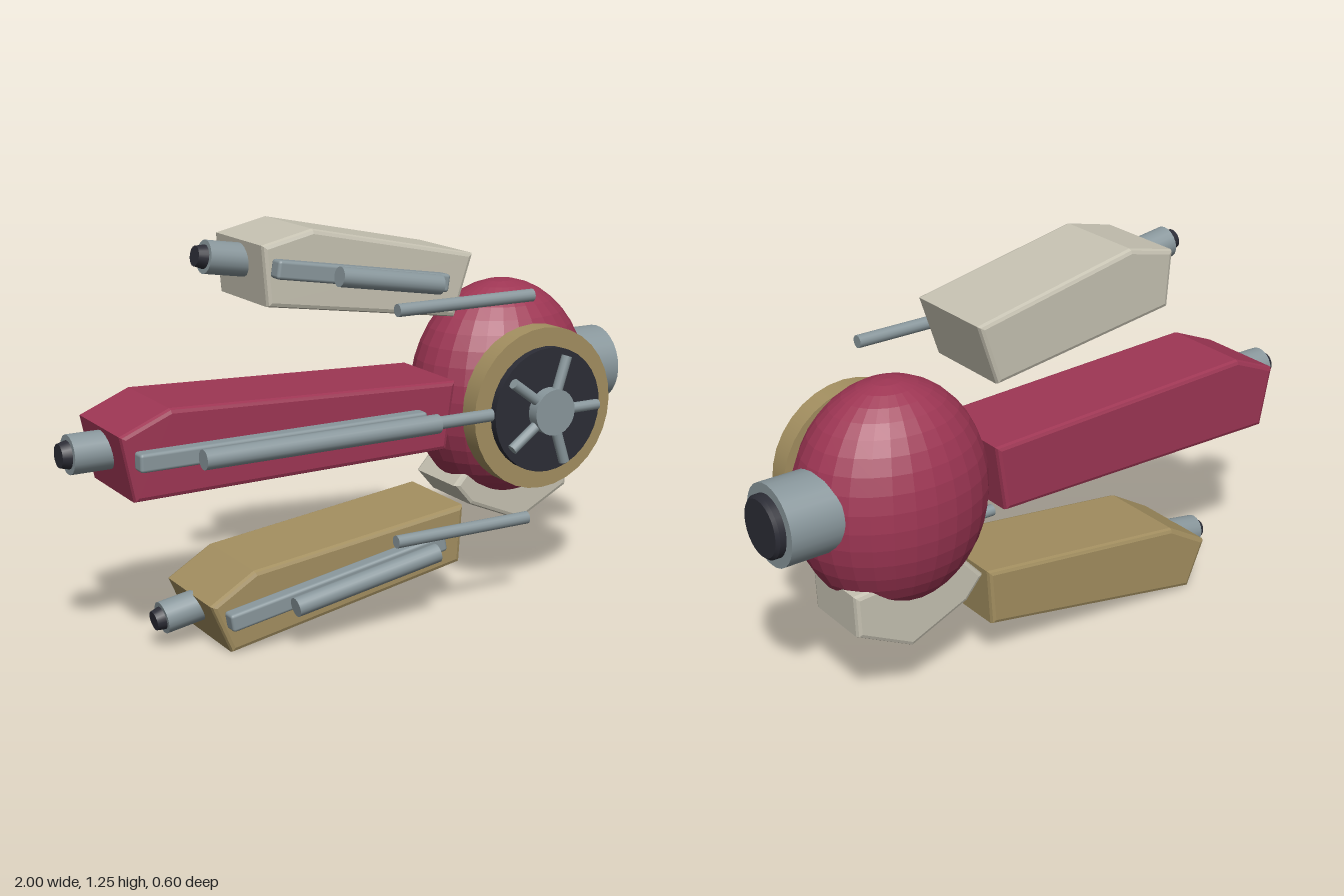
import * as THREE from 'three';
import { RoundedBoxGeometry } from 'three/addons/geometries/RoundedBoxGeometry.js';

const paint = (name, color) => Object.assign(new THREE.MeshStandardMaterial({ color }), { name });

export function createModel() {
  const red = paint('crimson', 0x9e3654);
  const cream = paint('cream', 0xc6c2b2);
  const tan = paint('tan', 0xa38f60);
  const grey = paint('steel grey', 0x89979c);
  const dark = paint('near black', 0x2c2d36);

  const model = new THREE.Group();
  model.name = 'machine';

  function add(name, geometry, material, parent = model) {
    const mesh = new THREE.Mesh(geometry, material);
    mesh.name = name;
    parent.add(mesh);
    return mesh;
  }

  // Cylinder running from point a to point b
  function rod(name, a, b, rA, rB, material, sides = 20, parent = model) {
    const from = new THREE.Vector3(...a), to = new THREE.Vector3(...b);
    const dir = to.clone().sub(from);
    const mesh = add(name, new THREE.CylinderGeometry(rB, rA, dir.length(), sides), material, parent);
    mesh.position.copy(from).add(to).multiplyScalar(0.5);
    mesh.quaternion.setFromUnitVectors(new THREE.Vector3(0, 1, 0), dir.normalize());
    return mesh;
  }

  // Side profile extruded through z with a small bevel kept inside the outline
  function slab(name, points, z0, z1, material, parent = model) {
    const bevel = 0.014;
    const shape = new THREE.Shape(points.map(([x, y]) => new THREE.Vector2(x, y)));
    const geometry = new THREE.ExtrudeGeometry(shape, {
      depth: z1 - z0 - 2 * bevel, bevelThickness: bevel, bevelSize: bevel,
      bevelOffset: -bevel, bevelSegments: 2,
    });
    geometry.translate(0, 0, z0 + bevel);
    return add(name, geometry, material, parent);
  }

  // Faceted egg-shaped body
  let egg = new THREE.SphereGeometry(1, 28, 20);
  egg.scale(0.307, 0.36, 0.247);
  egg = egg.toNonIndexed();
  egg.computeVertexNormals();
  add('body', egg, red).position.set(0.555, 0.65, -0.053);

  // Eye on the +x side
  rod('eyeHousing', [0.78, 0.68, -0.073], [0.97, 0.68, -0.073], 0.126, 0.126, grey, 28);
  rod('eyeLens', [0.96, 0.68, -0.073], [0.99, 0.68, -0.073], 0.096, 0.096, dark, 28);
  rod('eyeLensRim', [0.99, 0.68, -0.073], [1, 0.68, -0.073], 0.096, 0.087, dark, 28);

  // Keel block under the body
  slab('keel', [[0.42, 0.46], [0.33, 0.36], [0.39, 0.29], [0.59, 0.205], [0.775, 0.30], [0.78, 0.435]],
    -0.2, 0.04, cream);

  // Wheel on the front: rim, dark face, hub and five spokes
  const wheel = new THREE.Group();
  wheel.name = 'wheel';
  wheel.position.set(0.527, 0.64, 0);
  model.add(wheel);
  rod('wheelRim', [0, 0, 0.168], [0, 0, 0.236], 0.26, 0.26, tan, 32, wheel);
  rod('wheelFace', [0, 0, 0.2], [0, 0, 0.262], 0.2, 0.2, dark, 32, wheel);
  rod('wheelHub', [0, 0, 0.25], [0, 0, 0.302], 0.074, 0.074, grey, 24, wheel);
  for (let i = 0; i < 5; i++) {
    const a = (i / 5) * Math.PI * 2, c = Math.cos(a), s = Math.sin(a);
    rod('wheelSpoke', [c * 0.05, s * 0.05, 0.278], [c * 0.18, s * 0.18, 0.278], 0.017, 0.017, grey, 12, wheel);
  }

  // Three arms, each with a nozzle, a rail, a piston and a piston rod
  const arms = [
    {
      name: 'upperArm', material: cream, rodY: 1.008,
      profile: [[-0.4, 1.04], [0.245, 0.947], [0.31, 1.14], [-0.25, 1.257], [-0.415, 1.22]],
      nozzle: [[-0.36, 1.152], [-0.53, 1.178], [-0.56, 1.183]], radius: 0.05,
      rail: [[-0.39, 1.156], [0.195, 1.063]], piston: [[-0.215, 1.128], [0.13, 1.073]],
    },
    {
      name: 'middleArm', material: red, rodY: 0.644,
      profile: [[-0.832, 0.517], [0.22, 0.527], [0.252, 0.743], [-0.715, 0.78], [-0.872, 0.715]],
      nozzle: [[-0.8, 0.645], [-0.972, 0.645], [-1, 0.645]], radius: 0.059,
      rail: [[-0.832, 0.644], [0.12, 0.644]], piston: [[-0.66, 0.644], [0.128, 0.644]],
    },
    {
      name: 'lowerArm', material: tan, rodY: 0.288,
      profile: [[-0.535, 0.002], [0.275, 0.148], [0.287, 0.335], [-0.455, 0.245], [-0.602, 0.158]],
      nozzle: [[-0.53, 0.124], [-0.695, 0.096], [-0.722, 0.091]], radius: 0.05,
      rail: [[-0.557, 0.112], [0.195, 0.24]], piston: [[-0.368, 0.145], [0.13, 0.23]],
    },
  ];
  for (const arm of arms) {
    const group = new THREE.Group();
    group.name = arm.name;
    model.add(group);
    slab('armShell', arm.profile, -0.167, 0.153, arm.material, group);

    const [root, mouth, tip] = arm.nozzle.map(([x, y]) => [x, y, 0]);
    rod('nozzle', root, mouth, arm.radius, arm.radius, grey, 20, group);
    rod('nozzleTip', mouth, tip, arm.radius * 0.72, arm.radius * 0.6, dark, 20, group);

    const [[x0, y0], [x1, y1]] = arm.rail;
    const rail = add('rail', new RoundedBoxGeometry(Math.hypot(x1 - x0, y1 - y0), 0.056, 0.05, 2, 0.01), grey, group);
    rail.position.set((x0 + x1) / 2, (y0 + y1) / 2, 0.174);
    rail.rotation.z = Math.atan2(y1 - y0, x1 - x0);

    const [p0, p1] = arm.piston.map(([x, y]) => [x, y, 0.242]);
    rod('piston', p0, p1, 0.03, 0.03, grey, 20, group);
    rod('pistonRod', [-0.015, arm.rodY, 0.236], [0.473, arm.rodY, 0.236], 0.02, 0.02, grey, 16, group);
  }

  return model;
}
